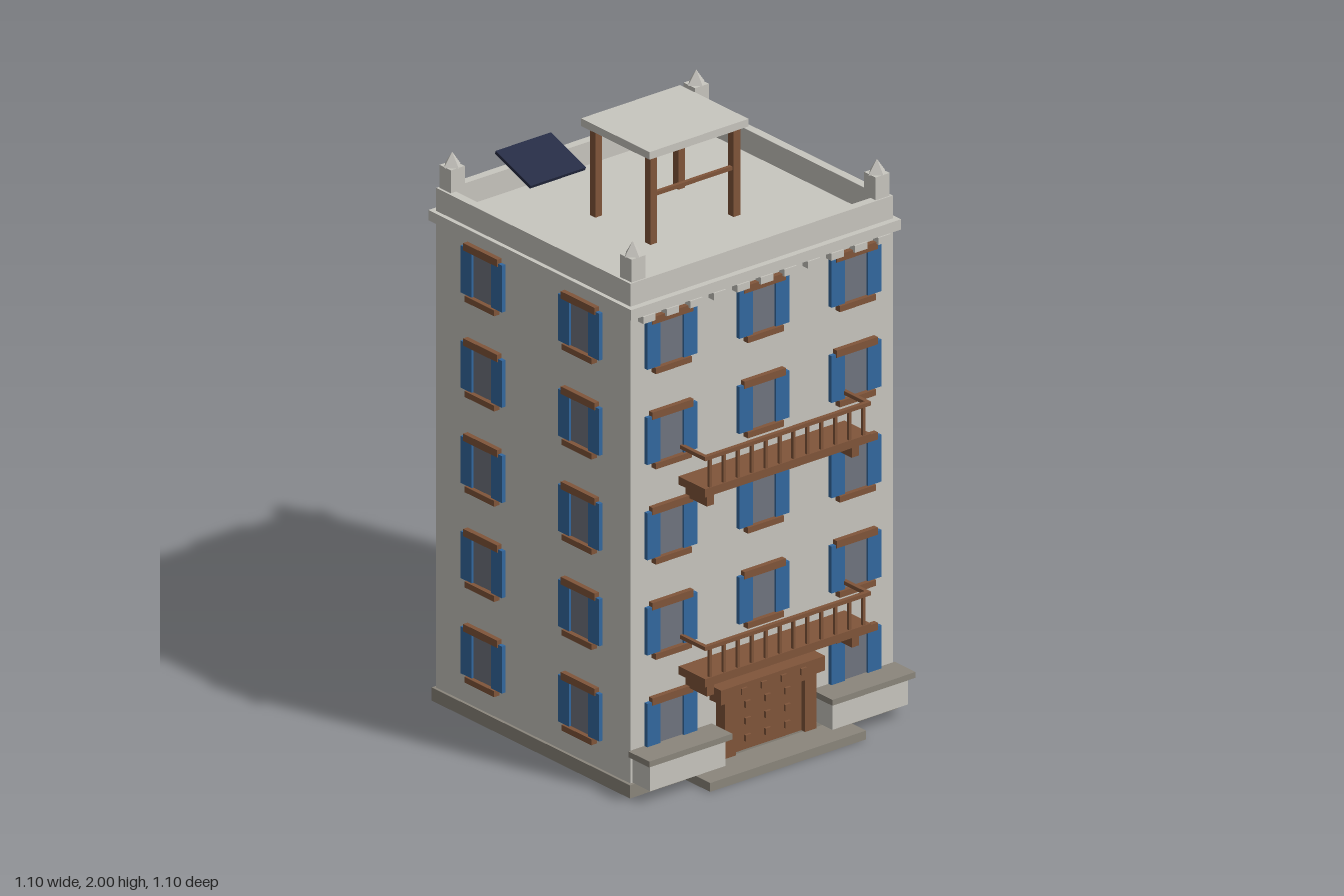
import * as THREE from 'three';

const mat = (name, color) => {
  const m = new THREE.MeshStandardMaterial({ color });
  m.name = name;
  return m;
};

export function createModel() {
  const stone = mat('paleStone', 0xc8c6bf);
  const darkStone = mat('darkStone', 0x8b867c);
  const wood = mat('wood', 0x80553a);
  const blue = mat('shutterBlue', 0x33689f);
  const glass = mat('glassGrey', 0x70747f);
  const navy = mat('panelNavy', 0x262c45);

  const model = new THREE.Group();
  model.name = 'apartmentBlock';
  const group = (name, parent = model) => {
    const g = new THREE.Group();
    g.name = name;
    parent.add(g);
    return g;
  };
  // Box given by its extents on each axis
  const box = (parent, name, material, [x0, x1], [y0, y1], [z0, z1]) => {
    const mesh = new THREE.Mesh(new THREE.BoxGeometry(x1 - x0, y1 - y0, z1 - z0), material);
    mesh.position.set((x0 + x1) / 2, (y0 + y1) / 2, (z0 + z1) / 2);
    mesh.name = name;
    parent.add(mesh);
    return mesh;
  };
  const around = (c, w) => [c - w / 2, c + w / 2];

  const X = 0.53, BACK = -0.53, FRONT = 0.42, MID = -0.055, ROOF = 1.672;

  // Plinth, entrance step, main block and cornice
  box(model, 'plinth', darkStone, [-0.54, 0.54], [0, 0.045], [-0.54, 0.43]);
  box(model, 'entranceStep', darkStone, [-0.315, 0.315], [0, 0.03], [0.43, 0.55]);
  box(model, 'walls', stone, [-X, X], [0.045, 1.65], [BACK, FRONT]);
  box(model, 'cornice', stone, [-0.545, 0.545], [1.637, ROOF], [-0.55, 0.442]);
  const dentils = group('dentils');
  for (let i = 0; i < 11; i++) {
    box(dentils, 'dentil', stone, around(-0.475 + i * 0.095, 0.05), [1.613, 1.637], [FRONT, 0.447]);
  }

  // Parapet and corner finials
  const parapet = group('parapet');
  box(parapet, 'parapetFront', stone, [-X, X], [ROOF, 1.75], [FRONT - 0.03, FRONT]);
  box(parapet, 'parapetBack', stone, [-X, X], [ROOF, 1.75], [BACK, BACK + 0.03]);
  for (const s of [-1, 1]) {
    box(parapet, 'parapetSide', stone, around(s * (X - 0.015), 0.03), [ROOF, 1.75], [BACK + 0.03, FRONT - 0.03]);
    for (const z of [-0.497, 0.387]) {
      box(parapet, 'cornerPost', stone, around(s * 0.493, 0.056), [ROOF, 1.828], around(z, 0.056));
      const cap = new THREE.Mesh(new THREE.ConeGeometry(0.033, 0.047, 4).toNonIndexed(), stone);
      cap.geometry.computeVertexNormals();
      cap.position.set(s * 0.493, 1.851, z);
      cap.name = 'cornerCap';
      parapet.add(cap);
    }
  }

  // Windows are built facing +z, with the wall at z = 0
  const addWindow = (x, y, z, turn) => {
    const w = group('window');
    box(w, 'pane', glass, [-0.05, 0.05], [-0.08, 0.075], [0, 0.006]);
    for (const s of [-1, 1]) {
      box(w, 'shutter', blue, around(s * 0.074, 0.054), [-0.08, 0.08], [0, 0.014]);
    }
    box(w, 'lintel', wood, [-0.083, 0.083], [0.07, 0.095], [0, 0.018]);
    box(w, 'sill', wood, [-0.073, 0.073], [-0.1, -0.08], [0, 0.022]);
    w.position.set(x, y, z);
    w.rotation.y = turn;
  };
  for (let floor = 0; floor < 5; floor++) {
    const y = 0.225 + floor * 0.325;
    for (const x of [-0.372, 0, 0.372]) {
      if (floor > 0 || x !== 0) addWindow(x, y, FRONT, 0);
    }
    for (const s of [-1, 1]) {
      addWindow(s * 0.28, y, BACK, Math.PI);
      for (const z of [MID - 0.238, MID + 0.238]) addWindow(s * X, y, z, s * Math.PI / 2);
    }
  }

  // Studded door with heavy frame
  const door = group('door');
  box(door, 'doorLeaf', wood, [-0.14, 0.14], [0.045, 0.24], [FRONT, 0.445]);
  box(door, 'doorHead', wood, [-0.185, 0.185], [0.222, 0.24], [FRONT, 0.464]);
  box(door, 'doorLintel', wood, [-0.21, 0.21], [0.24, 0.29], [FRONT, 0.477]);
  for (const s of [-1, 1]) {
    box(door, 'doorJamb', wood, around(s * 0.1625, 0.045), [0.045, 0.24], [FRONT, 0.464]);
  }
  for (const x of [-0.08, 0, 0.08]) {
    for (const y of [0.085, 0.143, 0.2]) {
      box(door, 'doorStud', wood, around(x, 0.022), around(y, 0.022), [0.445, 0.454]);
    }
  }
  for (const x of [-0.12, -0.04, 0.04, 0.12]) {
    box(door, 'lintelStud', wood, around(x, 0.022), around(0.265, 0.022), [0.477, 0.484]);
  }

  // Low walls either side of the door
  for (const s of [-1, 1]) {
    const terrace = group('terraceWall');
    box(terrace, 'terraceBlock', stone, around(s * 0.368, 0.305), [0.045, 0.137], [FRONT, 0.505]);
    box(terrace, 'terraceCap', darkStone, around(s * 0.37, 0.336), [0.137, 0.157], [FRONT, 0.522]);
  }

  // Balconies on brackets
  for (const y of [0.362, 1.01]) {
    const balcony = group('balcony');
    box(balcony, 'balconyFloor', wood, [-0.335, 0.335], [y, y + 0.028], [FRONT, 0.55]);
    box(balcony, 'handrail', wood, [-0.335, 0.335], [y + 0.124, y + 0.137], [0.535, 0.55]);
    for (const s of [-1, 1]) {
      box(balcony, 'bracket', wood, around(s * 0.293, 0.028), [y - 0.048, y], [FRONT, 0.524]);
      box(balcony, 'sideRail', wood, around(s * 0.328, 0.014), [y + 0.124, y + 0.137], [FRONT, 0.535]);
    }
    for (let i = 0; i < 12; i++) {
      box(balcony, 'baluster', wood, around(-0.31 + i * 0.62 / 11, 0.01), [y + 0.028, y + 0.124], around(0.542, 0.01));
    }
  }

  // Roof shelter
  const shelter = group('roofShelter');
  box(shelter, 'shelterRoof', stone, [-0.2, 0.2], [1.974, 2], [-0.221, 0.114]);
  for (const x of [-0.168, 0.168]) {
    for (const z of [-0.187, 0.083]) {
      box(shelter, 'shelterPost', wood, around(x, 0.027), [ROOF, 1.974], around(z, 0.027));
    }
  }
  box(shelter, 'shelterBar', wood, [-0.168, 0.168], around(1.836, 0.013), around(0.083, 0.013));

  // Tilted solar panels
  for (const s of [-1, 1]) {
    const panel = box(model, 'solarPanel', navy, around(s * 0.223, 0.223), around(1.804, 0.011), around(-0.392, 0.182));
    panel.rotation.x = 0.34;
  }
  return model;
}
